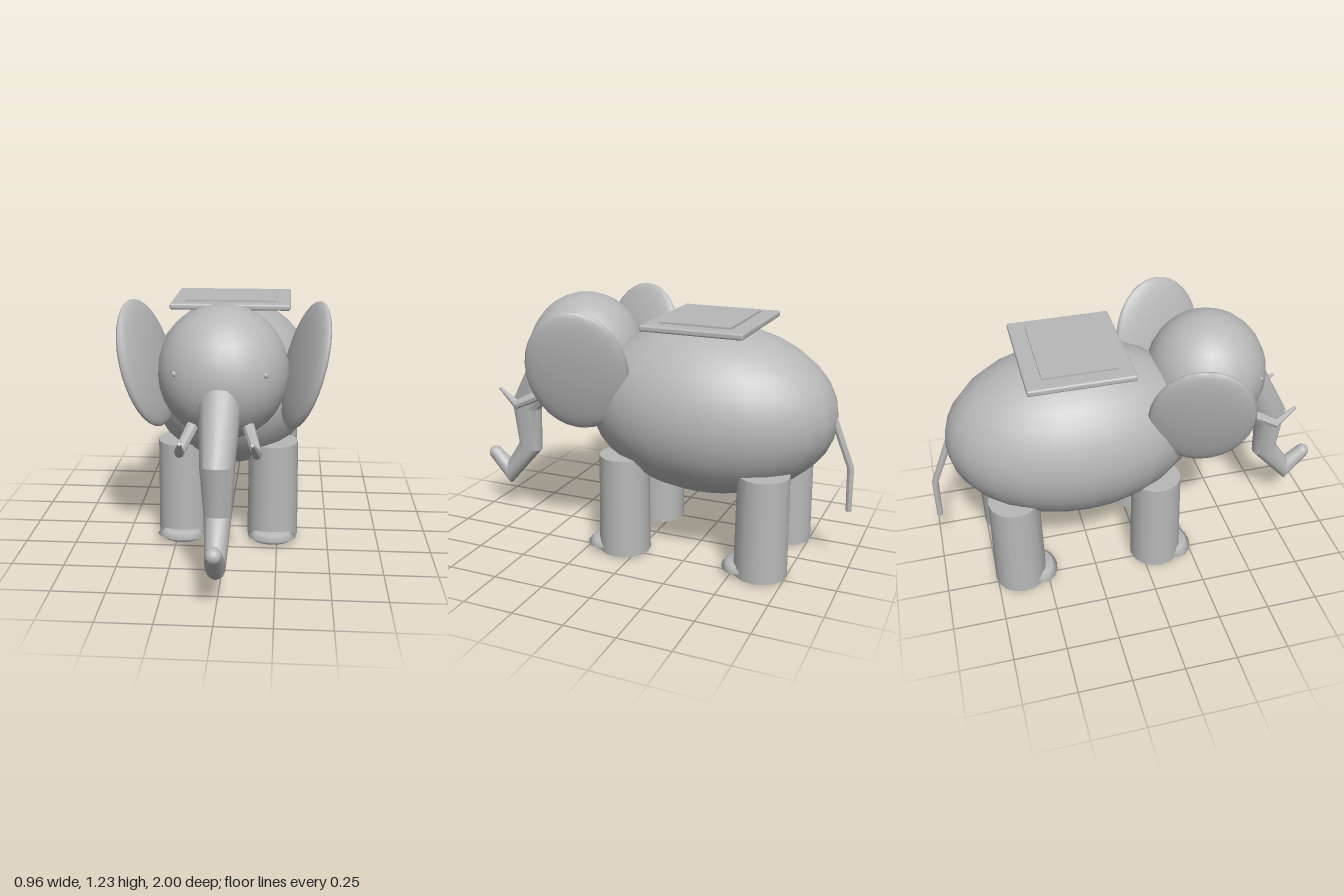
import * as THREE from 'three';
import { toCreasedNormals } from 'three/addons/utils/BufferGeometryUtils.js';
import { RoundedBoxGeometry } from 'three/addons/geometries/RoundedBoxGeometry.js';

// Tapered tube with mitred bends and closed ends; points are [x, y, z, radius]
function taperedTube(points, sides) {
  const centres = points.map(([x, y, z]) => new THREE.Vector3(x, y, z));
  const dirs = centres.slice(1).map((c, i) => c.clone().sub(centres[i]).normalize());
  const pos = [], index = [], last = centres.length - 1;
  centres.forEach((c, i) => {
    const before = dirs[Math.max(i - 1, 0)], after = dirs[Math.min(i, last - 1)];
    const n = before.clone().add(after).normalize();
    const side = new THREE.Vector3(1, 0, 0).addScaledVector(n, -n.x).normalize();
    const up = n.clone().cross(side).divideScalar(n.dot(after));
    for (let k = 0; k < sides; k++) {
      const a = (k / sides) * Math.PI * 2, r = points[i][3];
      const p = c.clone().addScaledVector(side, r * Math.cos(a)).addScaledVector(up, r * Math.sin(a));
      pos.push(p.x, p.y, p.z);
    }
  });
  const start = pos.length / 3, end = start + 1;
  pos.push(...centres[0].toArray(), ...centres[last].toArray());
  for (let k = 0; k < sides; k++) {
    const m = (k + 1) % sides;
    for (let i = 0; i < last; i++) {
      const a = i * sides, b = a + sides;
      index.push(a + k, a + m, b + m, a + k, b + m, b + k);
    }
    index.push(start, m, k, end, last * sides + k, last * sides + m);
  }
  const geo = new THREE.BufferGeometry();
  geo.setAttribute('position', new THREE.Float32BufferAttribute(pos, 3));
  geo.setIndex(index);
  return toCreasedNormals(geo, 0.5);
}

export function createModel() {
  const model = new THREE.Group();
  model.name = 'elephant';
  const grey = new THREE.MeshStandardMaterial({ color: 0xb8b8b8 });
  grey.name = 'grey';

  const add = (name, geo, x = 0, y = 0, z = 0) => {
    const mesh = new THREE.Mesh(geo, grey);
    mesh.name = name;
    mesh.position.set(x, y, z);
    model.add(mesh);
    return mesh;
  };
  const ellipsoid = (rx, ry, rz, w = 24, h = 16) => new THREE.SphereGeometry(1, w, h).scale(rx, ry, rz);

  // Body and head
  add('body', ellipsoid(0.42, 0.415, 0.62), 0, 0.725, -0.285);
  add('head', ellipsoid(0.295, 0.305, 0.292), 0, 0.93, 0.38);

  // Trunk with a rounded, upturned tip
  add('trunk', taperedTube([
    [0, 0.887, 0.585, 0.095],
    [0, 0.61, 0.75, 0.076],
    [0, 0.38, 0.737, 0.06],
    [0, 0.215, 0.87, 0.046],
    [0, 0.308, 0.965, 0.036],
  ], 16));
  add('trunkTip', ellipsoid(0.036, 0.036, 0.036, 16, 12), 0, 0.308, 0.965);

  // Tail
  add('tail', taperedTube([
    [0, 0.77, -0.875, 0.018],
    [0, 0.51, -0.978, 0.016],
    [0, 0.295, -0.982, 0.014],
  ], 8));

  // Paired parts
  for (const s of [1, -1]) {
    const label = s > 0 ? 'left' : 'right';

    const ear = add(label + 'Ear', ellipsoid(0.05, 0.305, 0.245, 20, 16), s * 0.367, 0.93, 0.243);
    ear.rotation.set(0, s * 0.28, -s * 0.26, 'ZYX');

    add(label + 'Eye', ellipsoid(0.013, 0.013, 0.013, 10, 8), s * 0.195, 0.97, 0.588);

    add(label + 'Tusk', taperedTube([
      [s * 0.12, 0.735, 0.55, 0.028],
      [s * 0.165, 0.66, 0.71, 0.022],
      [s * 0.15, 0.733, 0.815, 0.007],
    ], 8));

    // Legs, each with a flat toe pad at the front
    for (const [end, z] of [['Front', 0.072], ['Back', -0.63]]) {
      const leg = new THREE.CylinderGeometry(0.121, 0.127, 0.495, 16);
      add(label + end + 'Leg', leg, s * 0.225, 0.2575, z);
      add(label + end + 'Toes', ellipsoid(0.12, 0.032, 0.08, 16, 4), s * 0.225, 0.036, z + 0.104);
    }
  }

  // Saddle cloth with a raised pad
  add('saddleCloth', new RoundedBoxGeometry(0.594, 0.03, 0.494, 2, 0.01), 0, 1.145, -0.285);
  add('saddlePad', new THREE.BoxGeometry(0.45, 0.03, 0.345), 0, 1.154, -0.282);

  return model;
}
